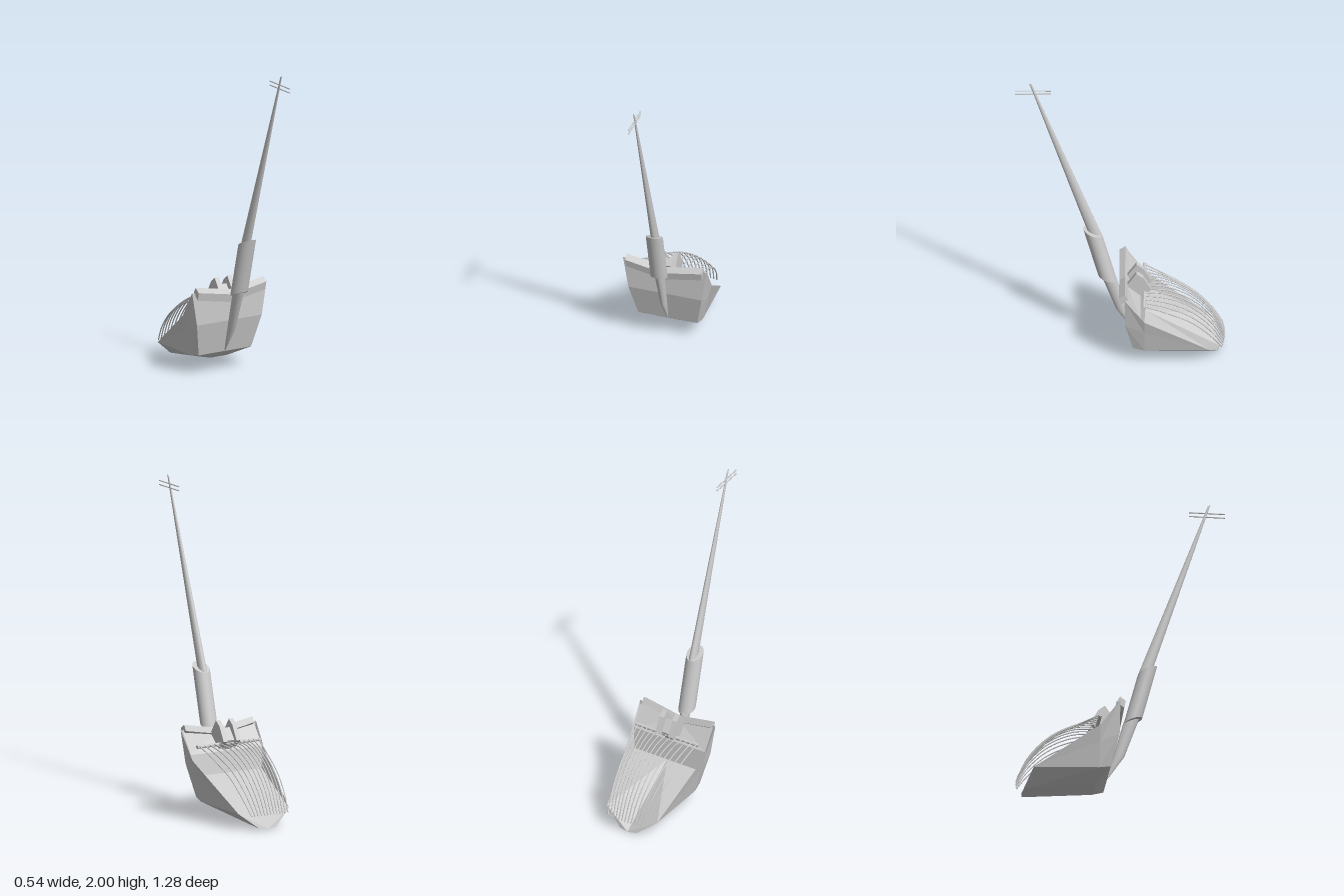
import * as THREE from 'three';

const flat = new THREE.MeshStandardMaterial({ color: 0xcccccc, flatShading: true, side: THREE.DoubleSide });
const smooth = new THREE.MeshStandardMaterial({ color: 0xcccccc, side: THREE.DoubleSide });

function add(parent, name, geometry, material = flat) {
  const mesh = new THREE.Mesh(geometry, material);
  mesh.name = name;
  parent.add(mesh);
  return mesh;
}

// Fans each polygon into triangles; every polygon is also mirrored across x = 0.
function mirroredPanels(polygons) {
  const pos = [];
  for (const poly of polygons) {
    for (let i = 1; i < poly.length - 1; i++) {
      const tri = [poly[0], poly[i], poly[i + 1]];
      for (const p of tri) pos.push(...p);
      for (const p of [tri[0], tri[2], tri[1]]) pos.push(-p[0], p[1], p[2]);
    }
  }
  const g = new THREE.BufferGeometry();
  g.setAttribute('position', new THREE.Float32BufferAttribute(pos, 3));
  g.computeVertexNormals();
  return g;
}

// Oval tube through slanted sections: front and back point as [z, y], plus half width in x.
function ovalLoft(sections, sides = 24) {
  const pos = [], index = [];
  const ring = ([[zf, yf], [zb, yb], w]) => {
    for (let i = 0; i < sides; i++) {
      const a = (i / sides) * Math.PI * 2, c = Math.cos(a) / 2;
      pos.push(w * Math.sin(a), (yf + yb) / 2 + c * (yf - yb), (zf + zb) / 2 + c * (zf - zb));
    }
  };
  sections.forEach(ring);
  for (let s = 0; s < sections.length - 1; s++) {
    for (let i = 0; i < sides; i++) {
      const a = s * sides + i, b = s * sides + (i + 1) % sides;
      index.push(a, b, b + sides, a, b + sides, a + sides);
    }
  }
  // end caps on their own rings, so the rims stay sharp
  for (const [section, top] of [[sections[0], false], [sections.at(-1), true]]) {
    const base = pos.length / 3;
    ring(section);
    for (let i = 1; i < sides - 1; i++) {
      index.push(base, base + (top ? i : i + 1), base + (top ? i + 1 : i));
    }
  }
  const g = new THREE.BufferGeometry();
  g.setAttribute('position', new THREE.Float32BufferAttribute(pos, 3));
  g.setIndex(index);
  g.computeVertexNormals();
  return g;
}

// Extrudes a [z, y] outline across x, centred on the given x.
function sidePlate(outline, width, x) {
  const shape = new THREE.Shape(outline.map(([z, y]) => new THREE.Vector2(-z, y)));
  const g = new THREE.ExtrudeGeometry(shape, { depth: width, bevelEnabled: false });
  return g.translate(0, 0, -width / 2).rotateY(Math.PI / 2).translate(x, 0, 0);
}

function createBucket() {
  const bucket = new THREE.Group();
  bucket.name = 'bucket';
  const mid = ([, y, z]) => [0, y, z];
  const rim = [0.27, 0.54, -0.03], waist = [0.235, 0.33, -0.03], heel = [0.19, 0.125, -0.08];
  const shoulder = [0.26, 0.37, -0.15], fold = [0.235, 0.27, -0.15], corner = [0.18, 0.1, -0.55];
  const chine = [0.2, 0.11, -0.15], keel = [0.06, 0.075, -0.15];
  const toe = [0.06, 0.005, -0.595], tip = [0, 0, -0.605];
  const rimMid = [0, 0.5, -0.03];

  add(bucket, 'frontWall', mirroredPanels([
    [rimMid, mid(waist), waist, rim],
    [mid(waist), mid(heel), heel, waist],
  ]));
  add(bucket, 'sideWalls', mirroredPanels([
    [rim, waist, fold, shoulder],
    [waist, heel, chine, fold],
    [shoulder, fold, corner],
    [fold, chine, corner],
  ]));
  add(bucket, 'underside', mirroredPanels([
    [mid(heel), mid(keel), keel, heel],
    [heel, keel, chine],
    [chine, keel, toe, corner],
    [mid(keel), tip, toe, keel],
    [corner, toe, tip],
  ]));
  // sloping inner surface
  const innerTop = [0.255, 0.53, -0.03], innerLow = [0.255, 0.4, -0.125];
  add(bucket, 'innerFloor', mirroredPanels([
    [rimMid, innerTop, innerLow, mid(innerLow)],
    [mid(innerLow), innerLow, fold, mid(fold)],
    [mid(fold), fold, corner, tip],
  ]));
  // bent lip along the upper edge, lower in the middle
  const section = [[0.005, 0.545], [-0.03, 0.57], [-0.05, 0.535], [-0.005, 0.495]];
  const end = section.map(([z, y]) => [0.245, y, z]);
  const middle = section.map(([z, y]) => [0, y - 0.045, z]);
  add(bucket, 'lip', mirroredPanels([
    end,
    ...section.map((_, i) => [middle[i], middle[(i + 1) % 4], end[(i + 1) % 4], end[i]]),
  ]));
  return bucket;
}

function createRake() {
  const rake = new THREE.Group();
  rake.name = 'rake';
  const bar = new THREE.CylinderGeometry(0.011, 0.011, 0.45, 12);
  add(rake, 'rakeBar', bar.rotateZ(Math.PI / 2).translate(0, 0.45, -0.147));

  const bracket = [[-0.04, 0.5], [-0.1, 0.59], [-0.14, 0.56], [-0.19, 0.47], [-0.13, 0.42]];
  for (const x of [-0.046, 0.046]) add(rake, 'bracket', sidePlate(bracket, 0.03, x));
  add(rake, 'pivotBlock', sidePlate([[-0.08, 0.5], [-0.11, 0.54], [-0.165, 0.47], [-0.13, 0.41]], 0.062, 0));

  // arched tines, highest in the middle and converging toward the tips
  const arch = [[-0.15, 0.457], [-0.29, 0.445], [-0.44, 0.37], [-0.565, 0.235], [-0.635, 0.09]];
  const sag = [0, 0.055, 0.065, 0.05, 0];
  for (let i = -6; i <= 6; i++) {
    const drop = (i / 6) ** 2;
    const points = arch.map(([z, y], j) => new THREE.Vector3(
      i * (0.035 - 0.0135 * j / 4), y - sag[j] * drop, z + 0.015 * drop * j / 4));
    add(rake, 'tine', new THREE.TubeGeometry(new THREE.CatmullRomCurve3(points), 20, 0.004, 6), smooth);
  }
  return rake;
}

function createArm() {
  const arm = new THREE.Group();
  arm.name = 'arm';
  // wedge running from the sleeve down the front wall
  add(arm, 'lowerArm', ovalLoft([
    [[-0.075, 0.13], [-0.085, 0.13], 0.003],
    [[0.025, 0.28], [-0.045, 0.27], 0.018],
    [[0.12, 0.55], [0.02, 0.51], 0.028],
  ]), smooth);
  add(arm, 'sleeve', ovalLoft([
    [[0.135, 0.545], [0.02, 0.5], 0.052],
    [[0.225, 0.893], [0.11, 0.842], 0.052],
  ]), smooth);
  add(arm, 'shaft', ovalLoft([
    [[0.2, 0.88], [0.11, 0.84], 0.023],
    [[0.553, 2.0], [0.535, 1.985], 0.004],
  ]), smooth);
  for (const y of [1.915, 1.94]) {
    const rod = new THREE.CylinderGeometry(0.004, 0.004, 0.22, 8);
    add(arm, 'crossRod', rod.rotateX(Math.PI / 2).translate(0, y, 0.53), smooth);
  }
  return arm;
}

export function createModel() {
  const model = new THREE.Group();
  model.name = 'rakeScoop';
  model.add(createBucket(), createRake(), createArm());
  return model;
}
